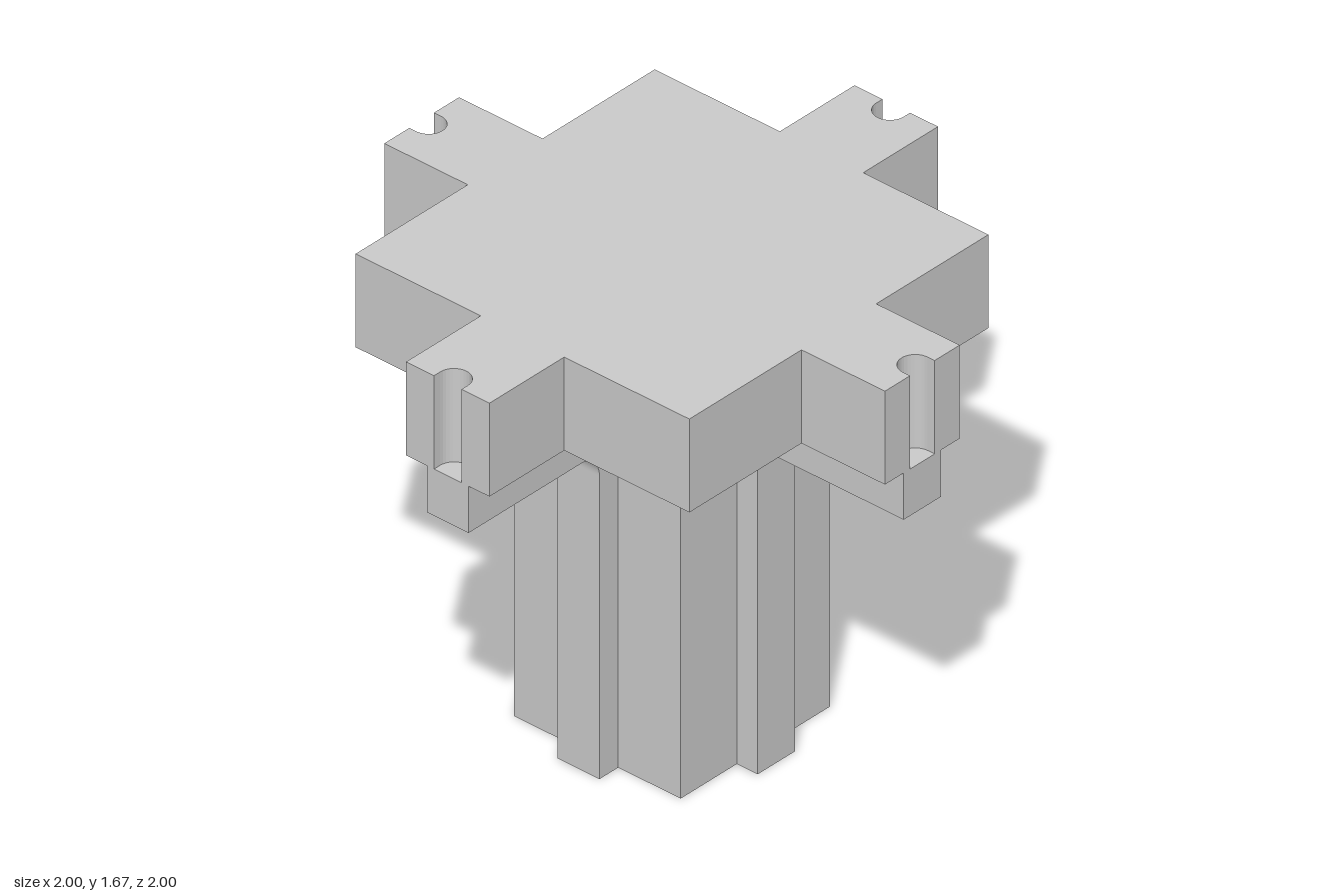
import * as THREE from 'three';

const material = new THREE.MeshStandardMaterial({ color: 0xcccccc });

const POST = 1 / 3;      // half width of the post
const PLATE_Y = 4 / 3;   // underside of the plate
const PLATE_H = 1 / 3;
const RIB = 1 / 6;       // rib width and bracket height

function addMesh(parent, name, geometry) {
  const mesh = new THREE.Mesh(geometry, material);
  mesh.name = name;
  parent.add(mesh);
  return mesh;
}

// Square plate with four arms, each with a round-bottomed notch in its end
function plateGeometry() {
  const body = 2 / 3, arm = 1 / 6, r = 0.055, centre = 0.972, steps = 16;
  const side = [[body, -arm], [1, -arm], [1, -r]];
  for (let i = 0; i <= steps; i++) {
    const t = (i / steps) * Math.PI;
    side.push([centre - r * Math.sin(t), -r * Math.cos(t)]);
  }
  side.push([1, r], [1, arm], [body, arm], [body, body]);

  const outline = [];
  for (let k = 0; k < 4; k++) {
    for (const [u, v] of side) {
      outline.push(new THREE.Vector2(u, v).rotateAround(new THREE.Vector2(), k * Math.PI / 2));
    }
  }
  const geometry = new THREE.ExtrudeGeometry(new THREE.Shape(outline), { depth: PLATE_H, bevelEnabled: false });
  geometry.rotateX(-Math.PI / 2);
  return geometry;
}

// Rib that runs up the post and curves out into a bracket under the arm
function ribGeometry() {
  const face = POST + 1 / 12, fillet = 1 / 12, under = PLATE_Y - RIB;
  const shape = new THREE.Shape();
  shape.moveTo(POST, 0);
  shape.lineTo(face, 0);
  shape.lineTo(face, under - fillet);
  shape.absarc(face + fillet, under - fillet, fillet, Math.PI, Math.PI / 2, true);
  shape.lineTo(1, under);
  shape.lineTo(1, PLATE_Y);
  shape.lineTo(POST, PLATE_Y);
  shape.closePath();
  const geometry = new THREE.ExtrudeGeometry(shape, { depth: RIB, bevelEnabled: false, curveSegments: 12 });
  geometry.translate(0, 0, -RIB / 2);
  return geometry;
}

export function createModel() {
  const model = new THREE.Group();
  model.name = 'pedestal';

  // Central square post
  addMesh(model, 'post', new THREE.BoxGeometry(2 * POST, PLATE_Y, 2 * POST)).position.y = PLATE_Y / 2;

  // Cross-shaped top
  addMesh(model, 'topPlate', plateGeometry()).position.y = PLATE_Y;

  // One rib on each side of the post
  const rib = ribGeometry();
  ['leftRib', 'backRib', 'rightRib', 'frontRib'].forEach((name, k) => {
    addMesh(model, name, rib).rotation.y = k * Math.PI / 2;
  });

  return model;
}
